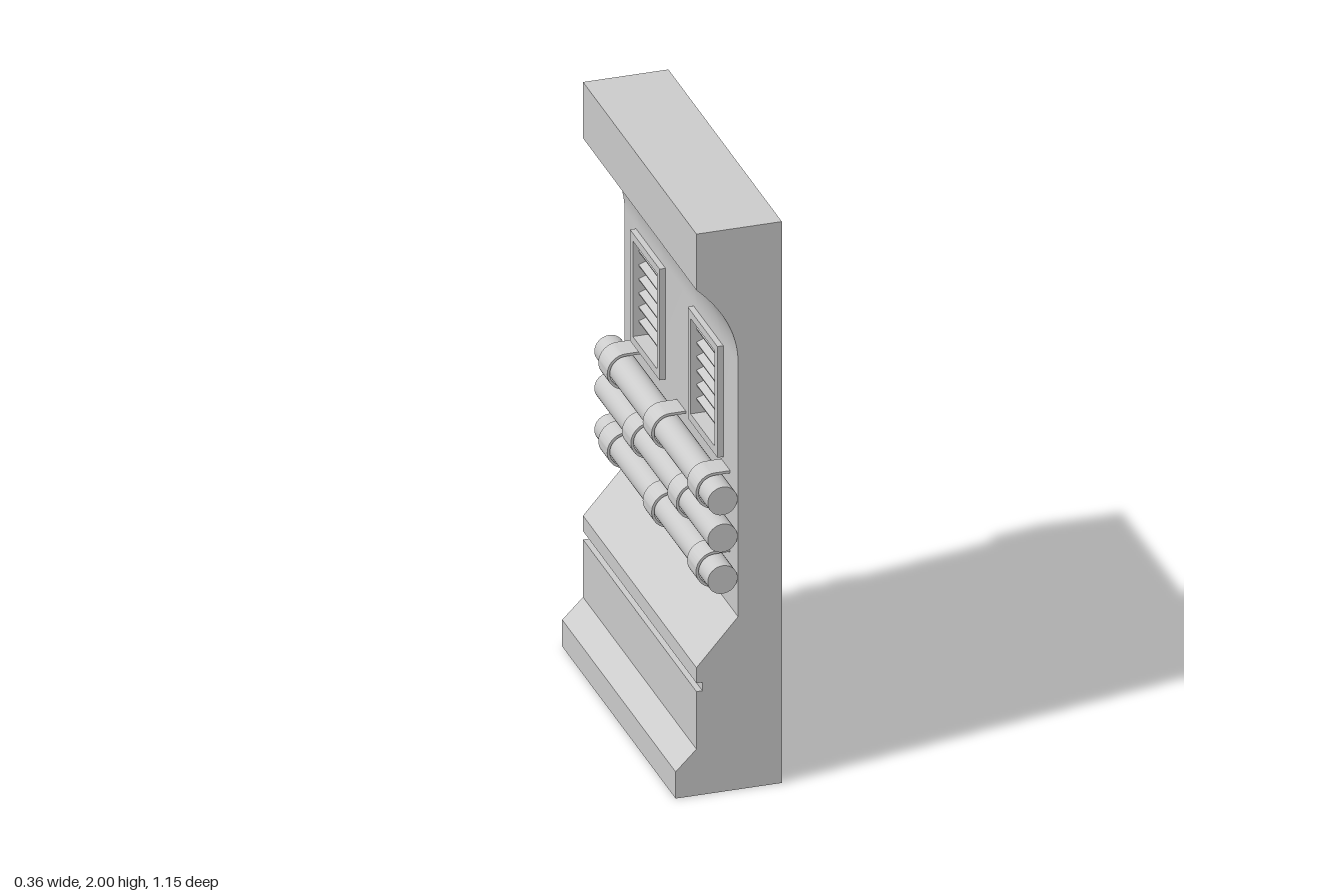
import * as THREE from 'three';
import { toCreasedNormals } from 'three/addons/utils/BufferGeometryUtils.js';

const material = new THREE.MeshStandardMaterial({ color: 0xcccccc });
const HALF = 0.575; // half length along z
const FACE = 0.03; // x of the sunken wall face
const VENT = { z: [-0.31, 0.275], y: 1.312, halfW: 0.15, halfH: 0.198, rim: 0.028, back: 0.11 };

function part(name, geometry, parent) {
  const mesh = new THREE.Mesh(geometry, material);
  mesh.name = name;
  parent.add(mesh);
  return mesh;
}

// Wall cross-section; the notched version has a pocket behind a vent
function wallShape(notched) {
  const s = new THREE.Shape();
  s.moveTo(0.177, 0);
  s.lineTo(0.177, 2);
  s.lineTo(-0.11, 2);
  s.lineTo(-0.11, 1.8);
  s.quadraticCurveTo(FACE, 1.67, FACE, 1.52);
  if (notched) {
    const h = VENT.halfH - VENT.rim;
    s.lineTo(FACE, VENT.y + h);
    s.lineTo(VENT.back, VENT.y + h);
    s.lineTo(VENT.back, VENT.y - h);
    s.lineTo(FACE, VENT.y - h);
  }
  [[FACE, 0.615], [-0.11, 0.455], [-0.11, 0.4], [-0.09, 0.4], [-0.09, 0.37],
    [-0.11, 0.37], [-0.11, 0.165], [-0.18, 0.095], [-0.18, 0]].forEach(([x, y]) => s.lineTo(x, y));
  s.closePath();
  return s;
}

function extrude(shape, depth, curveSegments = 16) {
  return new THREE.ExtrudeGeometry(shape, { depth, curveSegments, bevelEnabled: false });
}

function rectangle(target, w, h) {
  target.moveTo(-w, -h);
  target.lineTo(w, -h);
  target.lineTo(w, h);
  target.lineTo(-w, h);
  target.closePath();
  return target;
}

// Raised rim with slats set into the pocket
function vent(z) {
  const group = new THREE.Group();
  group.name = 'vent';
  const w = VENT.halfW - VENT.rim, h = VENT.halfH - VENT.rim;
  const shape = rectangle(new THREE.Shape(), VENT.halfW, VENT.halfH);
  shape.holes.push(rectangle(new THREE.Path(), w, h));
  part('ventFrame', extrude(shape, 0.022).rotateY(-Math.PI / 2).translate(FACE + 0.002, 0, 0), group);
  for (let i = 0; i < 6; i++) {
    const slat = part('ventSlat', new THREE.BoxGeometry(0.04, 0.01, 2 * w), group);
    slat.position.set(0.05, h - 0.035 - i * 0.05, 0);
    slat.rotation.z = 0.35;
  }
  group.position.set(0, VENT.y, z);
  return group;
}

// U-shaped strap holding a pipe to the wall
function strapGeometry(width) {
  const reach = FACE + 0.022, outer = 0.063, inner = 0.054;
  const s = new THREE.Shape();
  s.moveTo(reach, outer);
  s.lineTo(0, outer);
  s.absarc(0, 0, outer, Math.PI / 2, Math.PI * 1.5, false);
  s.lineTo(reach, -outer);
  s.lineTo(reach, -inner);
  s.lineTo(0, -inner);
  s.absarc(0, 0, inner, Math.PI * 1.5, Math.PI / 2, true);
  s.lineTo(reach, inner);
  s.closePath();
  return toCreasedNormals(extrude(s, width, 20).translate(0, 0, -width / 2), 0.5);
}

export function createModel() {
  const model = new THREE.Group();
  model.name = 'wallPanel';

  // Wall in slices along z, alternating plain and pocketed
  const w = VENT.halfW - VENT.rim;
  const cuts = [-HALF, ...VENT.z.flatMap((z) => [z - w, z + w]), HALF];
  for (let i = 0; i < cuts.length - 1; i++) {
    const geometry = extrude(wallShape(i % 2 === 1), cuts[i + 1] - cuts[i]);
    part('wall', toCreasedNormals(geometry, 0.4), model).position.z = cuts[i];
  }

  VENT.z.forEach((z) => model.add(vent(z)));

  // Three pipes with their straps
  const strap = strapGeometry(0.09);
  const pipe = new THREE.CylinderGeometry(0.05, 0.05, 2 * HALF, 32).rotateX(Math.PI / 2);
  const rows = [
    { y: 1.035, straps: [-0.45, 0, 0.45] },
    { y: 0.903, straps: [-0.21, 0.25] },
    { y: 0.755, straps: [-0.45, 0, 0.45] },
  ];
  rows.forEach(({ y, straps }) => {
    part('pipe', pipe, model).position.set(-0.022, y, 0);
    straps.forEach((z) => part('pipeStrap', strap, model).position.set(-0.022, y, z));
  });

  return model;
}
